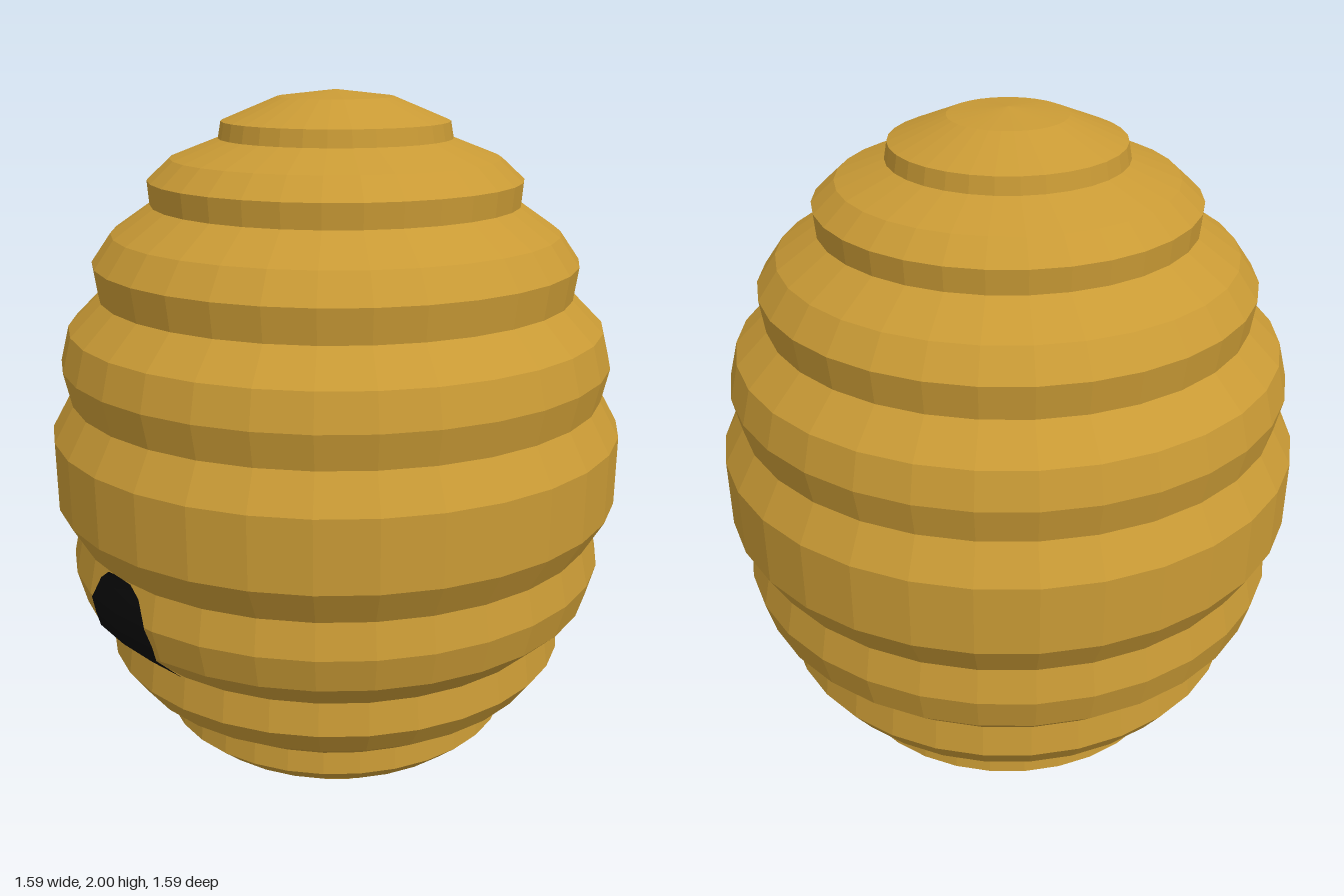
import * as THREE from 'three';

// Upper half of the ringed profile, [radius, height above the middle], from the widest ring to the tip
const HALF = [
  [0.797, 0.096], [0.742, 0.193], [0.762, 0.287], [0.737, 0.382], [0.652, 0.466],
  [0.664, 0.556], [0.61, 0.632], [0.502, 0.706], [0.507, 0.77], [0.445, 0.826],
  [0.315, 0.876], [0.307, 0.92], [0.156, 0.982], [0, 1],
];

// Mirror the half profile about the middle and order it from bottom to top
const PROFILE = [
  ...HALF.map(([r, h]) => [r, 1 - h]).reverse(),
  ...HALF.map(([r, h]) => [r, 1 + h]),
];

// Radius of the hive at height y
function radiusAt(y) {
  const i = PROFILE.findIndex((p) => p[1] >= y);
  const [r0, y0] = PROFILE[i - 1];
  const [r1, y1] = PROFILE[i];
  return r0 + ((r1 - r0) * (y - y0)) / (y1 - y0);
}

// Arched patch that follows the two front facets of the hive
function doorGeometry() {
  // [height, half width] of each row
  const rows = [
    [0.535, 0.125], [0.618, 0.135], [0.66, 0.137], [0.713, 0.127],
    [0.78, 0.09], [0.808, 0.053], [0.824, 0],
  ];
  const slope = Math.tan(Math.PI / 32);
  const positions = [];
  const index = [];
  rows.forEach(([y, w], j) => {
    const z = radiusAt(y) + 0.006;
    for (const x of [-w, 0, w]) positions.push(x, y, z - Math.abs(x) * slope);
    if (j === 0) return;
    for (let i = 0; i < 2; i++) {
      const a = (j - 1) * 3 + i;
      index.push(a, a + 1, a + 4, a, a + 4, a + 3);
    }
  });
  const geometry = new THREE.BufferGeometry();
  geometry.setAttribute('position', new THREE.Float32BufferAttribute(positions, 3));
  geometry.setIndex(index);
  geometry.computeVertexNormals();
  return geometry;
}

export function createModel() {
  const group = new THREE.Group();
  group.name = 'beehive';

  // Ringed body
  const body = new THREE.Mesh(
    new THREE.LatheGeometry(PROFILE.map(([r, y]) => new THREE.Vector2(r, y)), 32),
    new THREE.MeshStandardMaterial({ color: 0xc99a35, flatShading: true }),
  );
  body.name = 'hiveBody';

  // Dark entrance
  const door = new THREE.Mesh(
    doorGeometry(),
    new THREE.MeshStandardMaterial({ color: 0x0a0a0a, side: THREE.DoubleSide }),
  );
  door.name = 'entrance';

  group.add(body, door);
  return group;
}
